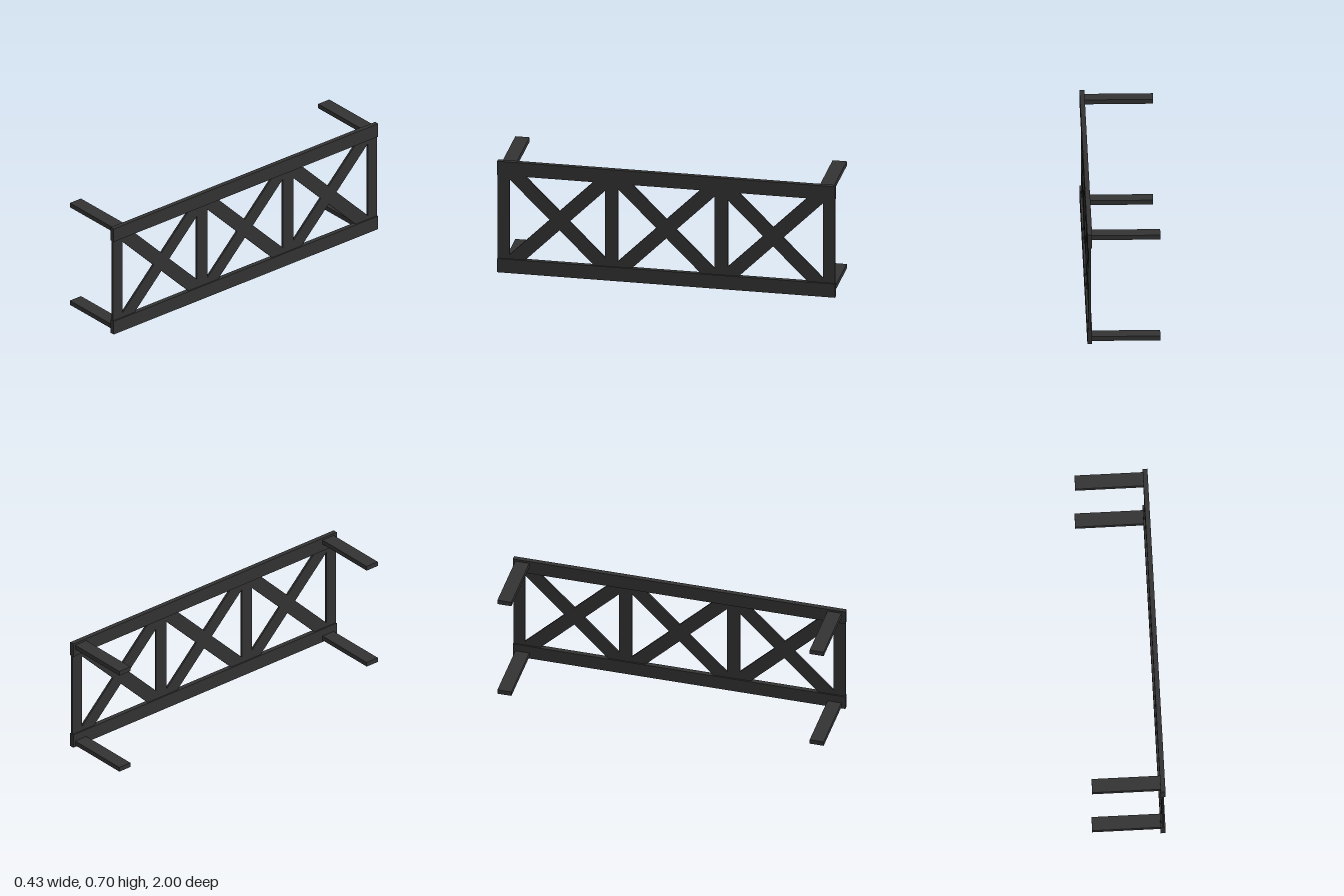
import * as THREE from 'three';

export function createModel() {
  const group = new THREE.Group();
  const material = new THREE.MeshStandardMaterial({ color: 0x333333 });
  const PLANE_X = 0.198, MID_Y = 0.349;

  function box(name, w, h, d, x, y, z, tilt = 0) {
    const mesh = new THREE.Mesh(new THREE.BoxGeometry(w, h, d), material);
    mesh.name = name;
    mesh.position.set(x, y, z);
    mesh.rotation.x = tilt;
    group.add(mesh);
  }

  // Long rails along the bottom and top
  box('bottomRail', 0.028, 0.086, 2, PLANE_X, 0.043, 0);
  box('topRail', 0.028, 0.086, 2, PLANE_X, 0.654, 0);

  // Upright posts between the rails
  for (const side of [1, -1]) {
    box('endPost', 0.013, 0.54, 0.071, PLANE_X, MID_Y, side * 0.9635);
    box('middlePost', 0.013, 0.54, 0.079, PLANE_X, MID_Y, side * 0.325);
  }

  // Crossed diagonal braces, one pair per bay, ends hidden inside the rails
  for (const z of [-0.632, 0, 0.632]) {
    for (const tilt of [Math.PI / 4, -Math.PI / 4]) {
      box('diagonalBrace', 0.0125, 0.85, 0.084, PLANE_X, MID_Y, z, tilt);
    }
  }

  // Horizontal arms at the four corners
  for (const y of [0.025, 0.67]) {
    for (const z of [0.935, -0.943]) {
      box('arm', 0.4, 0.028, 0.084, -0.013, y, z);
    }
  }

  return group;
}
